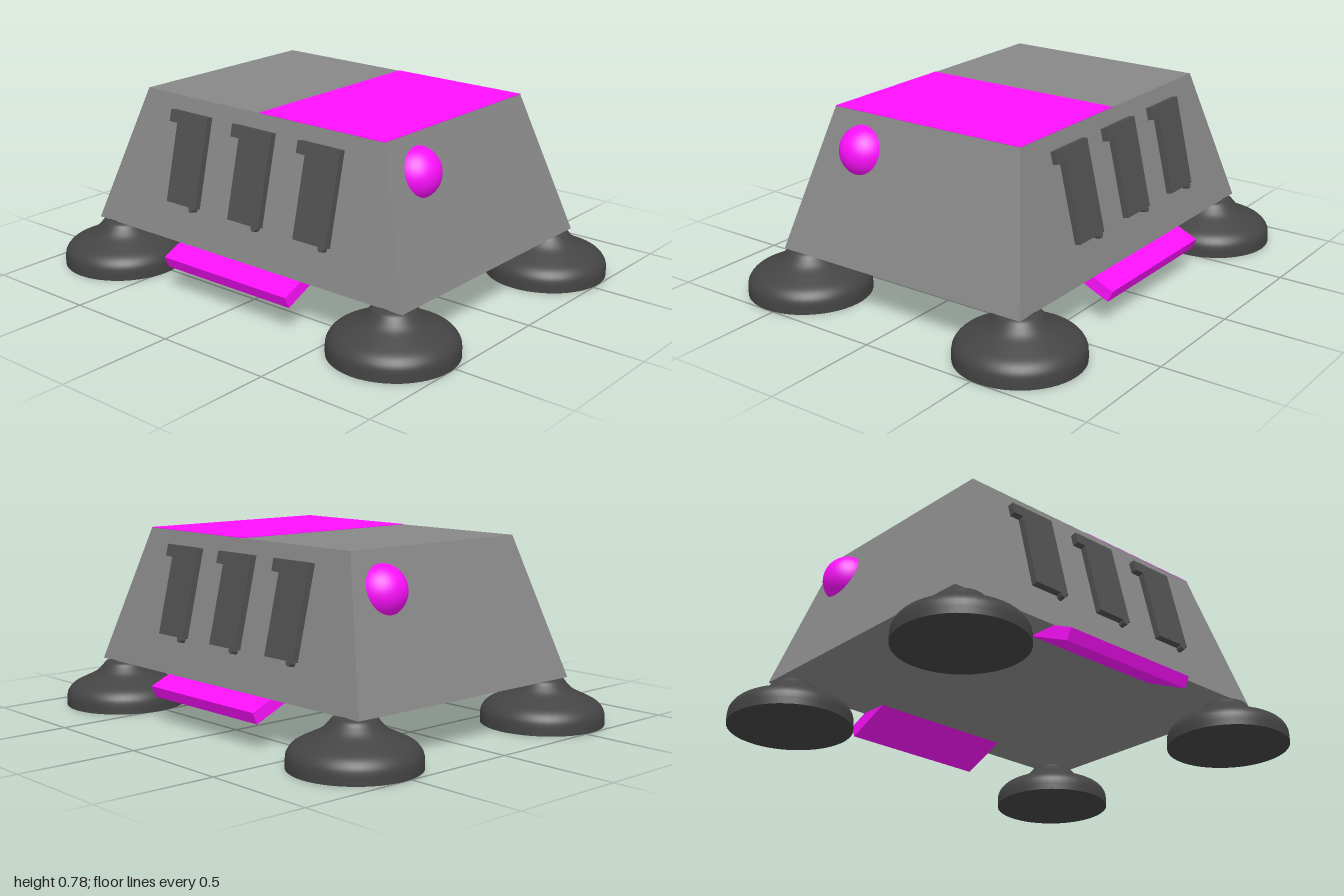
import * as THREE from 'three';

const paint = (color) => new THREE.MeshStandardMaterial({ color });
const bodyMat = paint(0x888888);
const plateMat = paint(0x505050);
const footMat = paint(0x444444);
const accentMat = paint(0xff10ff);

const BASE = 0.195, ROOF = 0.78;          // body heights
const BX = 0.825, BZ = 0.593;             // half size at the base
const TX = 0.63, TZ = 0.455;              // half size at the roof
const tilt = Math.atan((BZ - TZ) / (ROOF - BASE));

function add(parent, name, geometry, material, x = 0, y = 0, z = 0) {
  const mesh = new THREE.Mesh(geometry, material);
  mesh.name = name;
  mesh.position.set(x, y, z);
  parent.add(mesh);
  return mesh;
}

// Box tapered towards the roof
function bodyGeometry() {
  const g = new THREE.BoxGeometry(2, ROOF - BASE, 2);
  const p = g.attributes.position;
  for (let i = 0; i < p.count; i++) {
    const top = p.getY(i) > 0;
    p.setX(i, p.getX(i) * (top ? TX : BX));
    p.setZ(i, p.getZ(i) * (top ? TZ : BZ));
  }
  g.computeVertexNormals();
  return g;
}

// Hooked vent plate with a tab at its upper left
function plateGeometry() {
  const s = new THREE.Shape();
  s.moveTo(0.045, -0.142);
  s.lineTo(0.212, -0.142);
  s.lineTo(0.212, 0.238);
  s.lineTo(0, 0.238);
  s.lineTo(0, 0.187);
  s.lineTo(0.045, 0.187);
  s.closePath();
  return new THREE.ExtrudeGeometry(s, { depth: 0.032, bevelEnabled: false }).translate(0, 0, -0.005);
}

// Smooth domed foot with a narrow neck
function footGeometry() {
  const curve = new THREE.SplineCurve([
    [0.257, 0.03], [0.252, 0.06], [0.228, 0.09], [0.18, 0.115],
    [0.13, 0.14], [0.1, 0.168], [0.085, 0.186], [0.06, 0.197],
  ].map(([r, y]) => new THREE.Vector2(r, y)));
  const side = [new THREE.Vector2(0.257, 0), ...curve.getPoints(28), new THREE.Vector2(0, 0.2)];
  return new THREE.LatheGeometry(side, 48);
}

export function createModel() {
  const model = new THREE.Group();
  model.name = 'wedgeRobot';

  add(model, 'body', bodyGeometry(), bodyMat, 0, (BASE + ROOF) / 2, 0);
  add(model, 'roofPanel', new THREE.BoxGeometry(TX, 0.006, TZ * 2), accentMat, TX / 2, ROOF - 0.001, 0);

  // Four feet, each with a flat sole
  const foot = footGeometry();
  const sole = new THREE.CircleGeometry(0.257, 48).rotateX(Math.PI / 2);
  for (const sx of [-1, 1]) for (const sz of [-1, 1]) {
    const g = new THREE.Group();
    g.name = 'foot';
    g.position.set(sx * 0.743, 0, sz * 0.535);
    add(g, 'footDome', foot, footMat);
    add(g, 'footSole', sole, footMat);
    model.add(g);
  }

  // Front and back share their fittings, turned half way round
  const plate = plateGeometry();
  const peg = new THREE.CylinderGeometry(0.013, 0.013, 0.03, 16).rotateX(Math.PI / 2);
  const rampLength = 0.3, rampThick = 0.052, rampTilt = 0.42;
  const ramp = new THREE.BoxGeometry(0.665, rampThick, rampLength)
    .translate(0, -rampThick / 2, -rampLength / 2);
  for (const [name, turn] of [['front', 0], ['back', Math.PI]]) {
    const half = new THREE.Group();
    half.name = name + 'Fittings';
    half.rotation.y = turn;

    const face = new THREE.Group();
    face.name = name + 'Plates';
    face.position.set(0, (BASE + ROOF) / 2, (BZ + TZ) / 2);
    face.rotation.x = -tilt;
    for (const x of [-0.457, -0.109, 0.239]) {
      add(face, 'ventPlate', plate, plateMat, x, 0, 0);
      add(face, 'ventPeg', peg, plateMat, x + 0.187, -0.148, 0.012);
    }
    half.add(face);

    // Sloping bumper coming out from under the body
    add(half, name + 'Bumper', ramp, accentMat, 0, 0.155, 0.681).rotation.x = rampTilt;
    model.add(half);
  }

  // Round lamps half sunk into the sides
  const lamp = new THREE.SphereGeometry(0.105, 40, 28);
  add(model, 'leftLamp', lamp, accentMat, 0.646, 0.628, 0.29);
  add(model, 'rightLamp', lamp, accentMat, -0.65, 0.622, -0.318);

  return model;
}
